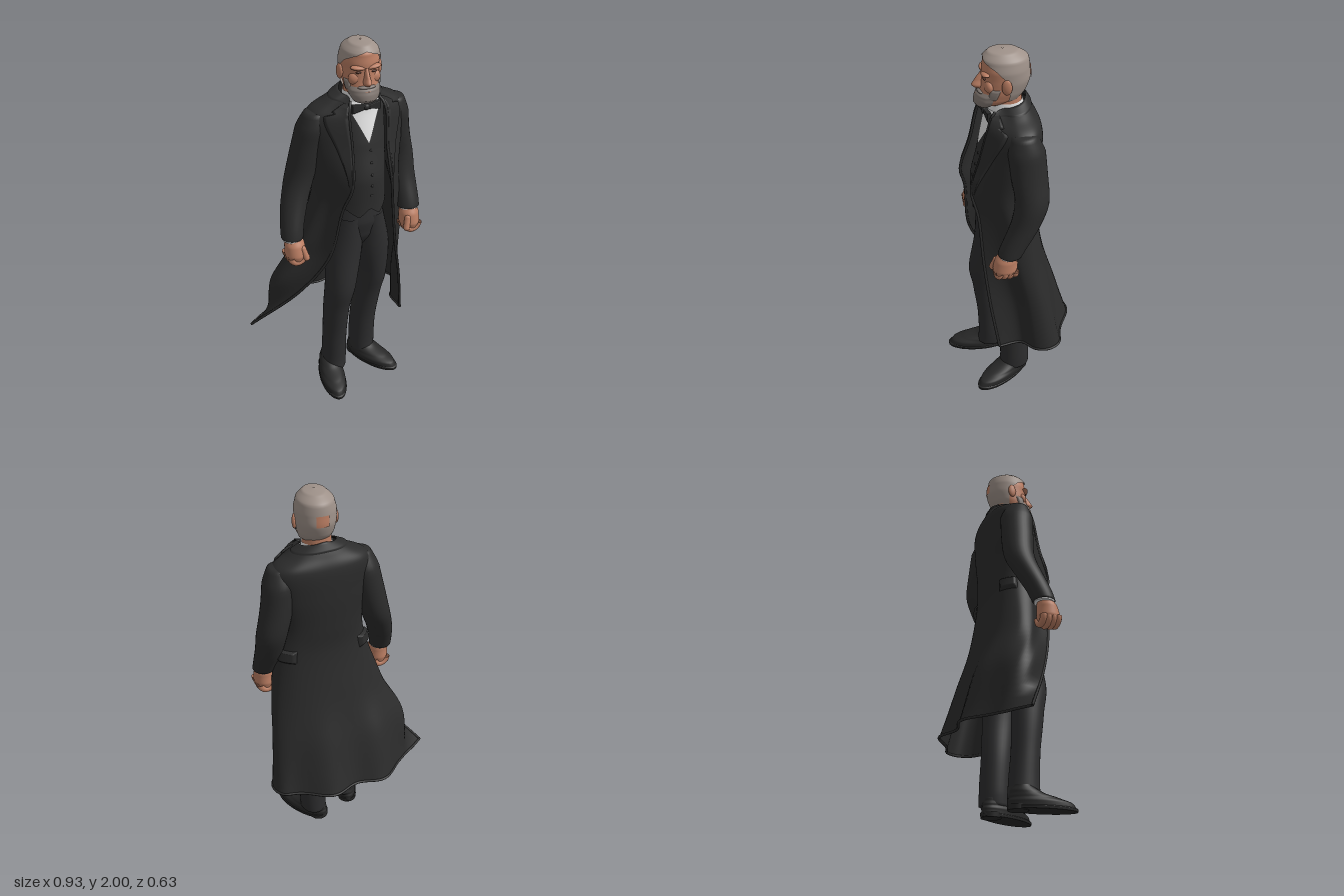
import * as THREE from 'three';
import { mergeVertices } from 'three/addons/utils/BufferGeometryUtils.js';

const V = (x, y, z) => new THREE.Vector3(x, y, z);
const clamp = THREE.MathUtils.clamp;
const curve = pts => new THREE.CatmullRomCurve3(pts);
const colour = (name, hex) => Object.assign(new THREE.MeshStandardMaterial({ color: hex, side: THREE.DoubleSide }), { name });

// Piecewise-linear rule: ramp([[t, value], ...])
const ramp = keys => t => {
  let i = 0;
  while (i < keys.length - 2 && t > keys[i + 1][0]) i++;
  const [a, b] = [keys[i], keys[i + 1]];
  return a[1] + (b[1] - a[1]) * clamp((t - a[0]) / (b[0] - a[0]), 0, 1);
};

// Surface through elliptical sections [x, y, z, rx, rz], listed from top to bottom; u = 0 is the front
function tubeSurface(secs) {
  const centre = curve(secs.map(s => V(s[0], s[1], s[2])));
  const radius = secs.map(s => V(s[3], s[4], 0));
  return (u, v) => {
    v = clamp(v, 0, 1);
    const c = centre.getPoint(v), f = v * (secs.length - 1), i = Math.min(Math.floor(f), secs.length - 2), k = f - i;
    const r = radius[i].clone().lerp(radius[i + 1], k * k * (3 - 2 * k) * 0.4 + k * 0.6);
    const a = u * Math.PI * 2;
    return V(c.x + r.x * Math.sin(a), c.y, c.z + r.y * Math.cos(a));
  };
}

// Mesh geometry of a surface region, optionally raised along the normal with sloped borders
function patch(S, { u0 = 0, u1 = 1, v0 = 0, v1 = 1, off = 0, bevel = false, nu = 32, nv = 32 } = {}) {
  const pos = [], idx = [], e = 0.003;
  const val = (f, v) => (typeof f === 'function' ? f(v) : f);
  for (let i = 0; i <= nv; i++) for (let j = 0; j <= nu; j++) {
    const t = i / nv, s = j / nu, v = v0 + (v1 - v0) * t;
    const u = val(u0, v) + (val(u1, v) - val(u0, v)) * s;
    const p = S(u, v);
    if (off) {
      const du = S(u + e, v).sub(S(u - e, v)), dv = S(u, v + e).sub(S(u, v - e));
      const k = bevel ? Math.min(1, 7 * Math.min(s, 1 - s, t, 1 - t)) : 1;
      p.addScaledVector(dv.cross(du).normalize(), 0.002 + off * k);
    }
    pos.push(p.x, p.y, p.z);
    if (i < nv && j < nu) {
      const a = i * (nu + 1) + j, c = a + nu + 1;
      idx.push(a, c, a + 1, a + 1, c, c + 1);
    }
  }
  const g = new THREE.BufferGeometry();
  g.setAttribute('position', new THREE.Float32BufferAttribute(pos, 3));
  g.setIndex(idx);
  const m = mergeVertices(g);
  m.computeVertexNormals();
  return m;
}

export function createModel() {
  const root = new THREE.Group();
  root.name = 'standingMan';
  const M = {
    coat: colour('coatCloth', 0x2b2b2b), vest: colour('vestCloth', 0x2e2e2e), trousers: colour('trouserCloth', 0x2d2d2e),
    shoe: colour('shoeLeather', 0x272727), skin: colour('skin', 0xbb7e63), hair: colour('hair', 0x9e9189),
    beard: colour('beard', 0x827872), shirt: colour('shirtWhite', 0xe4e4e4), eye: colour('eyeDark', 0x5a392d),
  };
  const add = (name, geo, mat, parent = root) => {
    const m = new THREE.Mesh(geo, mat);
    m.name = name;
    parent.add(m);
    return m;
  };
  const loft = (name, secs, mat, parent) => add(name, patch(tubeSurface(secs)), mat, parent);
  const ball = (name, mat, p, s, parent) => {
    const m = add(name, new THREE.SphereGeometry(1, 20, 14), mat, parent);
    m.position.set(...p);
    m.scale.set(...s);
    return m;
  };

  // Long open coat. Level: y, right edge x z, left edge x z, then the arc round the back: cx rx cz rz, start angle
  const levels = [
    [1.772, .042, .1, .198, .1, .12, .09, .01, .076, -40],
    [1.71, .03, .12, .21, .12, .115, .165, 0, .1, -40],
    [1.65, .02, .14, .22, .14, .115, .25, 0, .126, -40],
    [1.5, .02, .175, .21, .175, .115, .245, .02, .152, -40],
    [1.32, 0, .225, .215, .225, .113, .228, .04, .162, -40],
    [1.18, -.04, .195, .24, .2, .115, .245, .03, .145, -40],
    [.9, -.1, .17, .275, .185, .09, .312, -.01, .15, -40],
    [.65, -.235, .075, .32, .165, .045, .385, -.065, .163, -12],
    [.39, -.462, -.09, .36, .13, .05, .41, -.11, .187, 15],
  ];
  const drop = ramp([[0, .05], [1, .01], [2, 0], [7, 0], [8, .01]]);
  const levelPoint = ([y, rightX, rightZ, leftX, leftZ, cx, rx, cz, rz, start], i, j) => {
    const h = y - drop(i) * Math.abs(j - 6) / 6;
    if (j === 0) return V(rightX, h, rightZ);
    if (j === 12) return V(leftX, h, leftZ);
    const a = THREE.MathUtils.degToRad(start + (220 - start) * (j - 1) / 10), sin = Math.sin(a);
    return V(cx - rx * Math.cos(a), h, cz - rz * (sin > 0 && i > 1 && i < 6 ? sin ** .75 : sin));
  };
  const strands = Array.from({ length: 13 }, (_, j) => curve(levels.map((l, i) => levelPoint(l, i, j))));
  const fold = ramp([[.72, 0], [1, .024]]);
  const coat = (u, v) => {
    const p = curve(strands.map(c => c.getPoint(clamp(v, 0, 1)))).getPoint(1 - clamp(u, 0, 1));
    p.z -= fold(v) * clamp((-.1 - p.z) * 10, 0, 1) * Math.cos((p.x + .12) * 20.3);
    return p;
  };
  add('coatBody', patch(coat, { nu: 84, nv: 64 }), M.coat);
  const border = f => new THREE.TubeGeometry(curve(Array.from({ length: 41 }, (_, i) => f(i / 40))), 100, .007, 8);
  add('leftFrontEdge', border(t => coat(0, t)), M.coat);
  add('rightFrontEdge', border(t => coat(1, t)), M.coat);
  add('coatHem', border(t => coat(t, 1)), M.coat);
  add('coatCollar', patch(coat, { v0: 0, v1: .09, off: .004, bevel: true, nu: 60, nv: 14 }), M.coat);
  const lapel = ramp([[.08, .05], [.2, .075], [.21, .055], [.24, .1], [.52, .01]]);
  add('leftLapel', patch(coat, { u0: 0, u1: lapel, v0: .08, v1: .52, off: .01, bevel: true, nv: 56 }), M.coat);
  add('rightLapel', patch(coat, { u0: v => 1 - lapel(v), u1: 1, v0: .08, v1: .52, off: .01, bevel: true, nv: 56 }), M.coat);
  for (const [name, u] of [['leftPocketFlap', .25], ['rightPocketFlap', .64]])
    add(name, patch(coat, { u0: u, u1: u + .11, v0: .6, v1: .645, off: .018, bevel: true, nu: 20, nv: 14 }), M.coat);

  // Vest with two pointed tips, shirt front and buttons
  const vestBase = tubeSurface([[.12, 1.71, .02, .08, .085], [.117, 1.66, .018, .14, .1], [.115, 1.5, .02, .145, .14],
    [.11, 1.32, .05, .14, .15], [.11, 1.15, .05, .15, .138]]);
  const vest = (u, v) => {
    const p = vestBase(u, v);
    if (p.z > .08) p.y -= .05 * clamp((v - .8) * 5, 0, 1) * Math.max(0, 1 - Math.abs(Math.abs(p.x - .12) - .06) / .06);
    return p;
  };
  add('vest', patch(vest, { nu: 64 }), M.vest);
  const opening = ramp([[0, .2], [.25, .085], [.48, .003]]);
  add('shirtFront', patch(vest, { u0: v => -opening(v), u1: opening, v0: 0, v1: .48, off: .005 }), M.shirt);
  for (let i = 0; i < 5; i++) {
    const p = vest(.012, .54 + i * .085);
    ball('vestButton', M.vest, [p.x, p.y, p.z], [.007, .007, .004]);
  }

  // Neck, stand-up collar and bow tie
  loft('neck', [[.12, 1.82, .02, .07, .07], [.12, 1.69, .02, .072, .072]], M.skin);
  loft('shirtCollar', [[.12, 1.75, .022, .075, .075], [.12, 1.68, .022, .08, .09]], M.shirt);
  const bow = new THREE.Shape([[-.072, .019], [-.02, .009], [.02, .009], [.072, .019], [.072, -.019], [.02, -.009],
    [-.02, -.009], [-.072, -.019]].map(p => new THREE.Vector2(...p)));
  add('bowTie', new THREE.ExtrudeGeometry(bow, { depth: .012, bevelSize: .004, bevelThickness: .005, bevelSegments: 2 }), M.coat)
    .position.set(.115, 1.692, .117);
  ball('bowKnot', M.coat, [.115, 1.692, .128], [.017, .015, .012]);

  // Head, turned slightly to its right
  const head = new THREE.Group();
  head.name = 'head';
  head.position.set(.122, 0, .03);
  head.rotation.y = -.14;
  root.add(head);
  const skull = tubeSurface([[0, 1.994, .01, .002, .002], [0, 1.985, .008, .052, .068], [0, 1.955, 0, .082, .102], [0, 1.91, 0, .093, .108],
    [0, 1.86, 0, .092, .11], [0, 1.81, .014, .087, .106], [0, 1.77, .035, .078, .097], [0, 1.742, .062, .06, .074], [0, 1.737, .067, .003, .003]]);
  add('face', patch(skull, { nu: 48, nv: 48 }), M.skin, head);
  const hairline = ramp([[.21, 0], [.27, .1], [.34, .18], [.42, .23], [.5, .26], [.75, .31]]);
  add('hair', patch(skull, { u0: hairline, u1: v => 1 - hairline(v), v0: 0, v1: .74, off: .006, nu: 48, nv: 60 }), M.hair, head);
  ball('hairWhorl', M.hair, [0, 1.993, .01], [.02, .006, .02], head);
  add('crownSpot', patch(skull, { u0: .46, u1: .555, v0: .37, v1: .5, off: .01, nu: 12, nv: 12 }), M.skin, head);
  const jaw = ramp([[.62, .19], [.75, .2], [1, .25]]);
  add('beard', patch(skull, { u0: v => -jaw(v), u1: jaw, v0: .64, v1: .99, off: .01, bevel: true, nu: 40, nv: 28 }), M.beard, head);
  for (const s of [-1, 1]) {
    add('whiskers', patch(skull, { u0: s * .18 - .035, u1: s * .18 + .035, v0: .57, v1: .72, off: .006, bevel: true, nu: 12, nv: 14 }), M.beard, head);
    const ear = ball('ear', M.skin, [s * .1, 1.852, .004], [.012, .038, .024], head);
    ear.rotation.y = s * -.3;
    ball('browRidge', M.skin, [s * .036, 1.895, .092], [.04, .012, .022], head).rotation.z = s * .1;
    ball('eye', M.eye, [s * .036, 1.874, .099], [.017, .005, .007], head);
    ball('cheek', M.skin, [s * .044, 1.838, .075], [.036, .034, .026], head);
  }
  loft('nose', [[0, 1.895, .1, .008, .012], [0, 1.855, .112, .013, .028], [0, 1.83, .12, .02, .035], [0, 1.815, .115, .016, .026],
    [0, 1.812, .112, .002, .002]], M.skin, head);
  ball('moustache', M.beard, [0, 1.803, .113], [.045, .01, .018], head);
  ball('lip', M.skin, [0, 1.787, .129], [.022, .005, .01], head);

  // Sleeves, shirt cuffs and curled hands
  const rightArm = [[-.09, 1.672, 0, .004, .004], [-.095, 1.657, 0, .058, .06], [-.112, 1.575, -.01, .08, .09], [-.14, 1.45, -.02, .08, .088],
    [-.18, 1.3, -.025, .075, .082], [-.225, 1.18, .01, .068, .072], [-.255, 1.08, .05, .06, .065], [-.265, 1.02, .07, .057, .06], [-.265, 1.016, .07, .035, .035]];
  const leftArm = [[.32, 1.672, 0, .004, .004], [.325, 1.657, 0, .058, .06], [.335, 1.575, -.01, .08, .09], [.355, 1.45, -.02, .08, .088],
    [.387, 1.32, -.025, .078, .082], [.396, 1.2, .01, .07, .072], [.4, 1.1, .06, .063, .065], [.4, 1.045, .085, .061, .06], [.4, 1.04, .085, .035, .035]];
  for (const [side, s, secs] of [['right', -1, rightArm], ['left', 1, leftArm]]) {
    const [x, y, z] = secs[7];
    loft(side + 'Sleeve', secs, M.coat);
    loft(side + 'ShirtCuff', [[x, y + .02, z, .052, .052], [x, y - .009, z + .003, .053, .053], [x, y - .01, z, .02, .02]], M.shirt);
    const hand = new THREE.Group();
    hand.name = side + 'Hand';
    hand.position.set(x - s * .003, y - .073, z + .025);
    root.add(hand);
    loft('palm', [[0, .075, -.015, .042, .043], [0, .04, -.005, .052, .055], [0, -.01, 0, .054, .062], [0, -.045, 0, .042, .052], [0, -.06, 0, .004, .004]], M.skin, hand);
    for (let i = 0; i < 4; i++) {
      const finger = add('finger', new THREE.TorusGeometry(.037, .018, 10, 16, Math.PI), M.skin, hand);
      finger.rotation.z = Math.PI;
      finger.position.set(0, -.022 + Math.abs(i - 1.2) * .005, -.042 + i * .027);
    }
    const thumb = add('thumb', new THREE.CapsuleGeometry(.017, .055, 6, 12), M.skin, hand);
    thumb.position.set(-s * .035, 0, .045);
    thumb.rotation.set(-.3, 0, -s * .25);
  }

  // Trousers
  loft('trouserSeat', [[.11, 1.22, .045, .13, .11], [.11, 1.05, .04, .15, .126], [.11, .96, .04, .15, .108], [.115, .87, .04, .09, .06],
    [.115, .86, .04, .004, .004]], M.trousers);
  loft('rightTrouserLeg', [[.05, 1.08, .045, .08, .115], [.03, .86, .06, .098, .11], [-.002, .65, .095, .08, .1], [-.02, .5, .085, .07, .085],
    [-.025, .3, .07, .066, .075], [-.025, .13, .06, .068, .08], [-.028, .06, .06, .066, .088], [-.028, .058, .06, .02, .02]], M.trousers);
  loft('leftTrouserLeg', [[.17, 1.08, .045, .08, .115], [.2, .86, .045, .098, .11], [.215, .65, .04, .077, .1], [.205, .5, .02, .07, .088],
    [.188, .3, 0, .072, .08], [.187, .13, -.008, .073, .08], [.188, .06, -.004, .068, .084], [.188, .058, 0, .02, .02]], M.trousers);

  // Shoes with soles and heels
  for (const [side, x, z, turn] of [['right', -.05, .04, -.2], ['left', .174, -.017, .46]]) {
    const shoe = new THREE.Group();
    shoe.name = side + 'Shoe';
    shoe.position.set(x, 0, z);
    shoe.rotation.y = turn;
    root.add(shoe);
    loft('upper', [[0, .12, 0, .045, .05], [0, .088, .022, .056, .085], [0, .062, .062, .062, .132], [0, .042, .088, .069, .164], [0, .012, .098, .068, .173]], M.shoe, shoe);
    loft('sole', [[0, .022, .1, .066, .168], [0, .016, .1, .072, .176], [0, .003, .1, .07, .175], [0, .002, .1, .003, .003]], M.shoe, shoe);
    const heel = add('heel', new THREE.CylinderGeometry(.054, .052, .026, 24), M.shoe, shoe);
    heel.position.set(0, .013, -.02);
  }
  return root;
}
